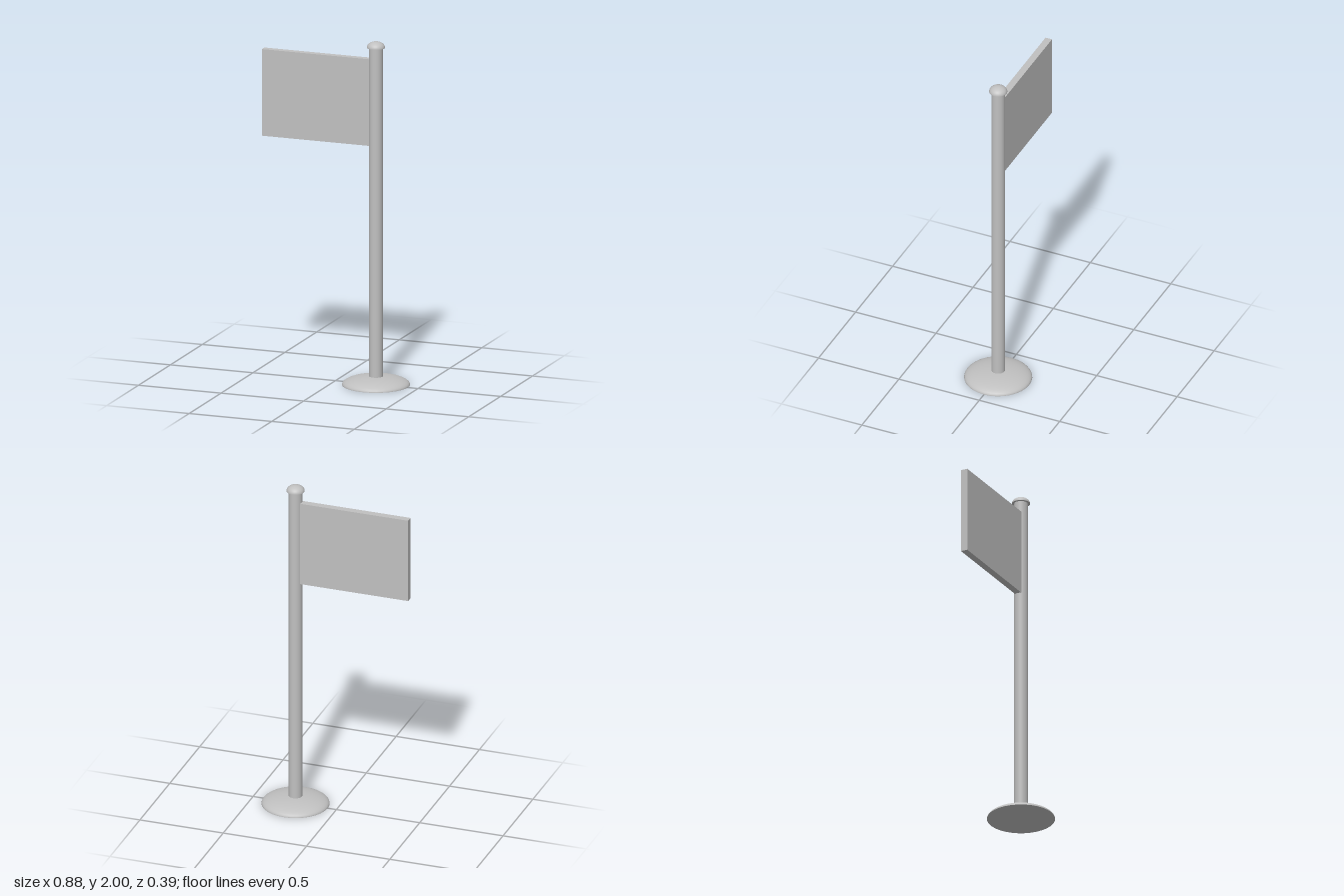
import * as THREE from 'three';

export function createModel() {
  const model = new THREE.Group();
  model.name = 'flagOnPole';
  const grey = new THREE.MeshStandardMaterial({ color: 0xc0c0c0 });
  grey.name = 'light grey';
  const poleX = 0.245;

  function add(geometry, name, x, y, parent = model) {
    const mesh = new THREE.Mesh(geometry, grey);
    mesh.name = name;
    mesh.position.set(x, y, 0);
    parent.add(mesh);
    return mesh;
  }

  // Flattened half sphere, closed underneath by a flat disc
  function addDome(name, radius, height, y) {
    const dome = new THREE.Group();
    dome.name = name;
    dome.position.set(poleX, y, 0);
    const shell = new THREE.SphereGeometry(radius, 32, 12, 0, Math.PI * 2, 0, Math.PI / 2);
    shell.scale(1, height / radius, 1);
    add(shell, name + 'Shell', 0, 0, dome);
    add(new THREE.CircleGeometry(radius, 32).rotateX(Math.PI / 2), name + 'Underside', 0, 0, dome);
    model.add(dome);
  }

  addDome('base', 0.193, 0.05, 0);
  addDome('cap', 0.052, 0.036, 1.964);

  // Pole from inside the base to inside the cap
  add(new THREE.CylinderGeometry(0.039, 0.039, 1.95, 32), 'pole', poleX, 1.0);

  // Rigid rectangular flag, sunk slightly into the pole
  add(new THREE.BoxGeometry(0.66, 0.505, 0.04), 'flag', -0.438 + 0.33, 1.645);

  return model;
}
